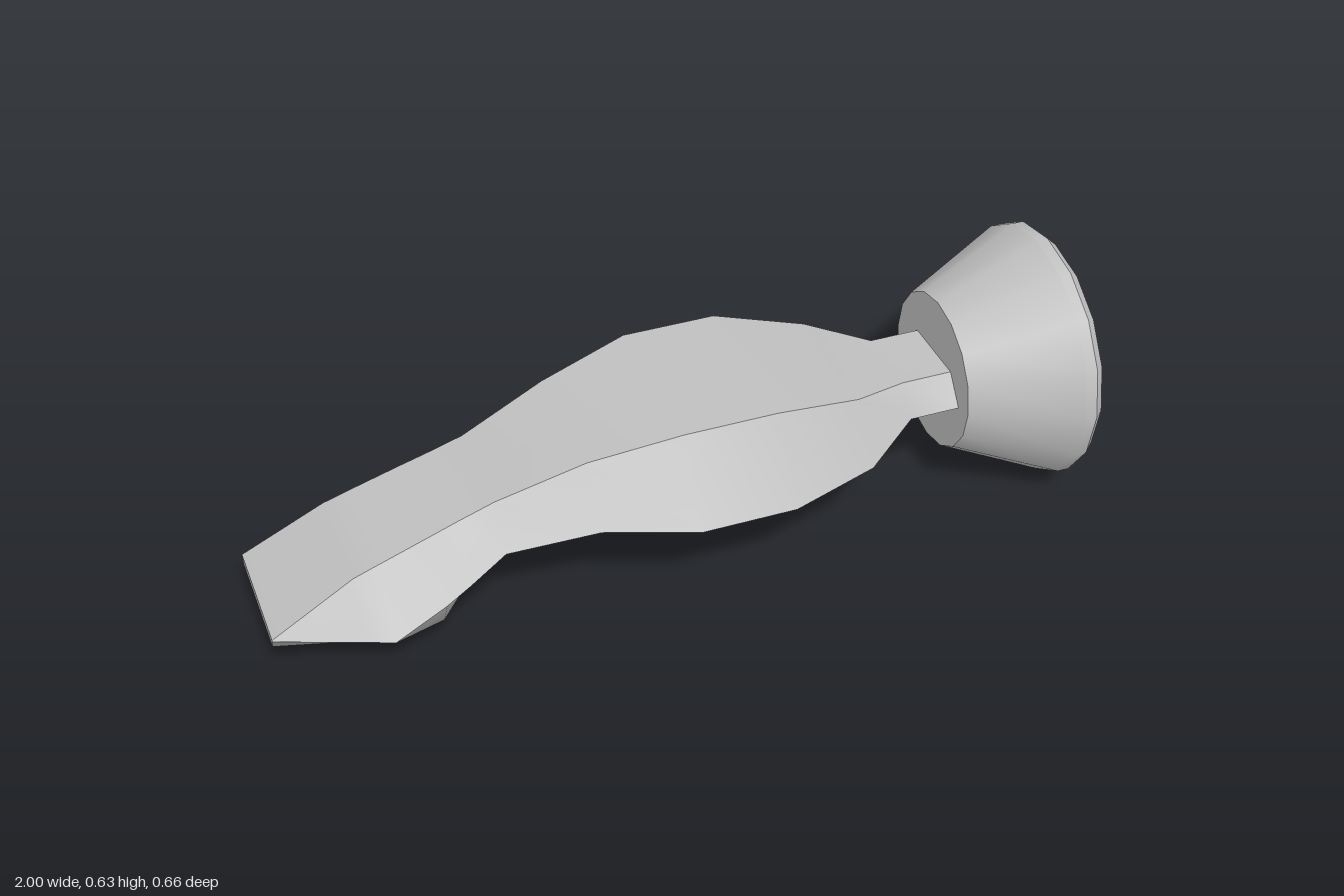
import * as THREE from 'three';

// Handle stations: x, top half-width, top y, edge half-width, edge y, keel y,
// and optionally lower half-width and lower y (otherwise a plain V underside)
const STATIONS = [
  [-1.0, 0.157, 0.105, 0.157, 0.1, 0.08, 0.15, 0.08],
  [-0.8, 0.142, 0.215, 0.228, 0.096, 0.083, 0.2, 0.076],
  [-0.74, 0.14, 0.236, 0.25, 0.093, 0.085, 0.21, 0.074],
  [-0.61, 0.135, 0.28, 0.228, 0.145, 0.085, 0.19, 0.071],
  [-0.55, 0.132, 0.3, 0.22, 0.18, 0.1, 0.14, 0.1],
  [-0.46, 0.13, 0.33, 0.205, 0.235, 0.17],
  [-0.25, 0.165, 0.41, 0.26, 0.28, 0.2],
  [-0.03, 0.206, 0.46, 0.328, 0.27, 0.12],
  [0.2, 0.206, 0.46, 0.328, 0.27, 0.12],
  [0.42, 0.163, 0.41, 0.262, 0.28, 0.155],
  [0.57, 0.092, 0.37, 0.147, 0.3, 0.2],
  [0.71, 0.092, 0.37, 0.147, 0.3, 0.255],
];

// Closed cross-section, from the +z edge over the top and back underneath
function section([x, tw, ty, ew, ey, ky, lw = ew / 2, ly = (ey + ky) / 2]) {
  return [[ey, ew], [ty, tw], [ty, -tw], [ey, -ew], [ly, -lw], [ky, 0], [ly, lw]]
    .map(([y, z]) => [x, y, z]);
}

function buildGeometry(positions, index) {
  const geometry = new THREE.BufferGeometry();
  geometry.setAttribute('position', new THREE.Float32BufferAttribute(positions, 3));
  geometry.setIndex(index);
  geometry.computeVertexNormals();
  return geometry;
}

// Smooth strip along the handle through the chosen section points
function stripGeometry(sections, columns) {
  const n = columns.length;
  const positions = sections.flatMap((s) => columns.flatMap((c) => s[c]));
  const index = [];
  for (let i = 0; i < sections.length - 1; i++) {
    for (let j = 0; j < n - 1; j++) {
      const a = i * n + j, b = a + n;
      index.push(a, b, a + 1, b, b + 1, a + 1);
    }
  }
  return buildGeometry(positions, index);
}

export function createModel() {
  const model = new THREE.Group();
  const grey = new THREE.MeshStandardMaterial({ color: 0xc0c0c0 });
  grey.name = 'grey';
  const add = (parent, name, geometry) => {
    const mesh = new THREE.Mesh(geometry, grey);
    mesh.name = name;
    parent.add(mesh);
  };

  // Faceted handle: separate strips keep the long edges sharp
  const handle = new THREE.Group();
  handle.name = 'handle';
  model.add(handle);
  const sections = STATIONS.map(section);
  const strips = {
    leftSide: [0, 1], topFace: [1, 2], rightSide: [2, 3],
    rightUnderside: [3, 4, 5], leftUnderside: [5, 6, 0],
  };
  for (const [name, columns] of Object.entries(strips)) {
    add(handle, name, stripGeometry(sections, columns));
  }

  // Thin end face at the tip
  const tipIndex = [];
  for (let i = 1; i < 6; i++) tipIndex.push(0, i, i + 1);
  add(handle, 'tipFace', buildGeometry(sections[0].flat(), tipIndex));

  // Flared sixteen-sided head
  const head = new THREE.Group();
  head.name = 'head';
  head.position.y = 0.315;
  model.add(head);
  const ring = (name, x0, x1, r0, r1, open) => {
    const geometry = new THREE.CylinderGeometry(r1, r0, x1 - x0, 16, 1, open);
    geometry.rotateZ(-Math.PI / 2).translate((x0 + x1) / 2, 0, 0);
    add(head, name, geometry);
  };
  ring('flare', 0.695, 0.947, 0.196, 0.315, false);
  ring('rim', 0.947, 0.975, 0.315, 0.315, true);
  ring('bevelledEnd', 0.975, 1, 0.315, 0.291, false);

  return model;
}
